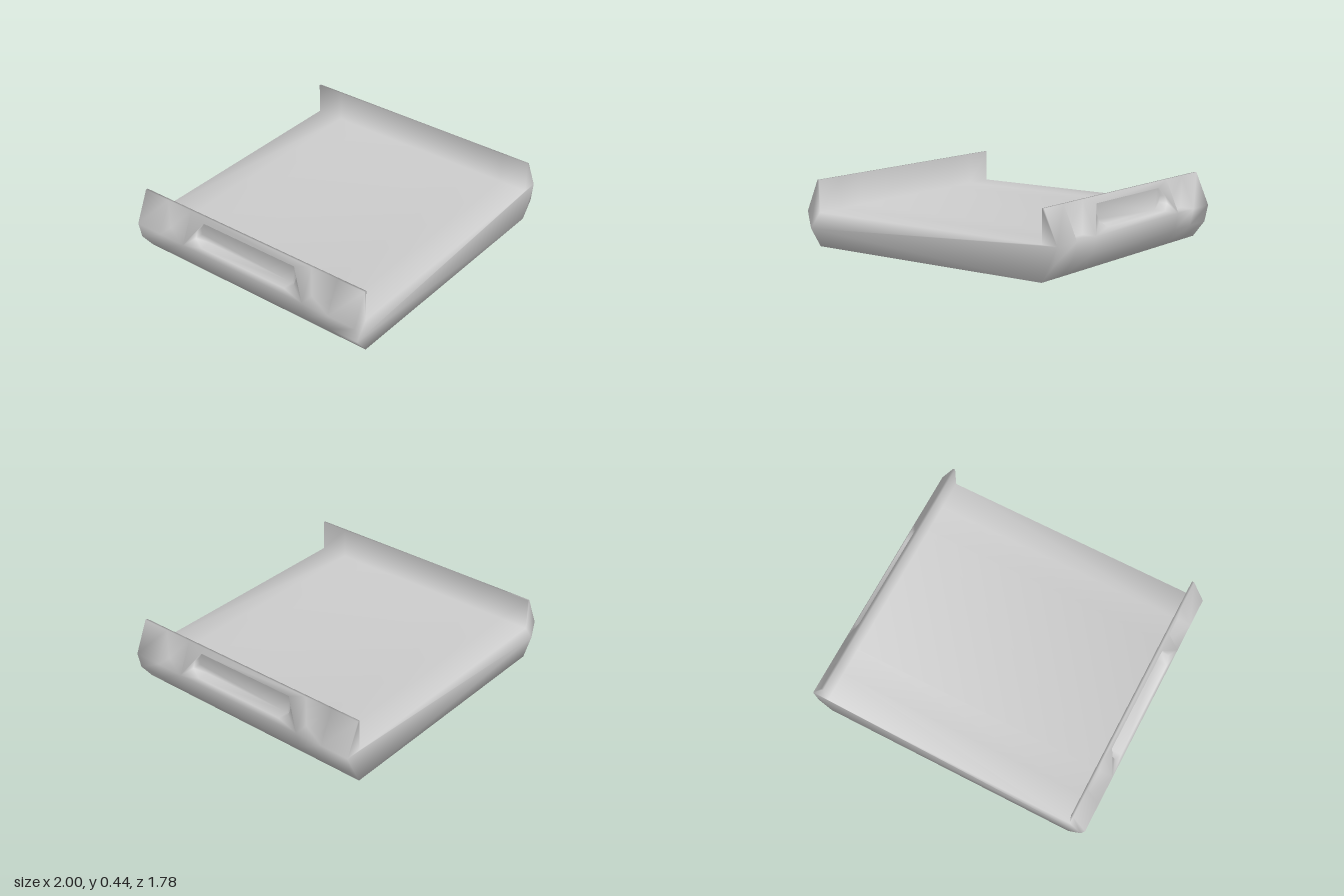
import * as THREE from 'three';
import { mergeVertices } from 'three/addons/utils/BufferGeometryUtils.js';

const LOW = 0.225, TOP = 0.44, INNER = 0.89, RIM = 0.905, END = 0.89;
const stations = [-END, -0.69, -0.49, 0.49, 0.69, END];

// x of the sloping outer side at height y
const slopeX = y => RIM + (1 - RIM) * (TOP - y) / (TOP - LOW);

// half of the cross-section, bottom to floor
const half = [[INNER, 0], [0.975, 0.11], [1, LOW], [RIM, TOP], [INNER, TOP], [INNER, LOW]];
const profile = [...half, ...half.map(([x, y]) => [-x, y]).reverse()];

export function createModel() {
  const positions = [];
  const ranges = [];

  // adds a convex face, corners counter-clockwise from outside
  const face = pts => {
    for (let i = 1; i < pts.length - 1; i++) positions.push(...pts[0], ...pts[i], ...pts[i + 1]);
  };
  const part = (name, build) => {
    const start = positions.length / 3;
    build();
    ranges.push({ name, start, count: positions.length / 3 - start });
  };

  // floor, base, wall tops and flat ends
  part('tray', () => {
    profile.forEach((a, i) => {
      if (i === 2 || i === 8) return; // sloping sides are built below
      const b = profile[(i + 1) % profile.length];
      for (let k = 0; k < stations.length - 1; k++) {
        const z0 = stations[k], z1 = stations[k + 1];
        face([[...a, z1], [...a, z0], [...b, z0], [...b, z1]]);
      }
    });
    const outline = profile.map(p => new THREE.Vector2(...p));
    for (const t of THREE.ShapeUtils.triangulateShape(outline, [])) {
      face(t.map(i => [...profile[i], END]));
      face(t.map(i => [...profile[i], -END]).reverse());
    }
  });

  // sloping side with two notches and a grip pocket
  const side = mirror => {
    const add = pts => face(mirror < 0 ? pts.map(([x, y, z]) => [-x, y, z]).reverse() : pts);
    const onSlope = ([u, y]) => [slopeX(y), y, -u];

    // plain panels at both ends
    for (const [u0, u1] of [[-END, -0.69], [0.69, END]]) {
      add([[u0, LOW], [u1, LOW], [u1, TOP], [u0, TOP]].map(onSlope));
    }

    // middle panel around the grip opening
    const panel = [[-0.49, LOW], [0.49, LOW], [0.49, TOP], [-0.49, TOP]];
    const right = [[0.34, 0.258], [0.4, 0.3], [0.405, 0.345], [0.37, 0.4]];
    const grip = [...right, ...right.map(([u, y]) => [-u, y]).reverse()];
    const all = [...panel, ...grip];
    const vec = list => list.map(p => new THREE.Vector2(...p));
    for (const t of THREE.ShapeUtils.triangulateShape(vec(panel), [vec(grip)])) {
      add(t.map(i => onSlope(all[i])));
    }

    // grip pocket
    const deep = ([u, y]) => [0.908, y, -u];
    grip.forEach((p, i) => {
      const q = grip[(i + 1) % grip.length];
      add([onSlope(p), onSlope(q), deep(q), deep(p)]);
    });
    add(grip.map(deep));

    // notches: ledge, back wall and two ends
    for (const [zb, za] of [[-0.69, -0.49], [0.49, 0.69]]) {
      add([[RIM, LOW, za], [1, LOW, za], [1, LOW, zb], [RIM, LOW, zb]]);
      add([[RIM, LOW, za], [RIM, LOW, zb], [RIM, TOP, zb], [RIM, TOP, za]]);
      add([[RIM, LOW, za], [RIM, TOP, za], [1, LOW, za]]);
      add([[1, LOW, zb], [RIM, TOP, zb], [RIM, LOW, zb]]);
    }
  };
  part('leftGripSide', () => side(1));
  part('rightGripSide', () => side(-1));

  // weld everything so the shading runs smoothly across the parts
  let whole = new THREE.BufferGeometry();
  whole.setAttribute('position', new THREE.Float32BufferAttribute(positions, 3));
  whole = mergeVertices(whole, 1e-4);
  whole.computeVertexNormals();

  const material = new THREE.MeshStandardMaterial({ color: 0xcccccc });
  const group = new THREE.Group();
  const index = Array.from(whole.index.array);
  for (const { name, start, count } of ranges) {
    const geometry = new THREE.BufferGeometry();
    geometry.setAttribute('position', whole.attributes.position);
    geometry.setAttribute('normal', whole.attributes.normal);
    geometry.setIndex(index.slice(start, start + count));
    const mesh = new THREE.Mesh(geometry, material);
    mesh.name = name;
    group.add(mesh);
  }
  group.name = 'stackingTray';
  return group;
}
